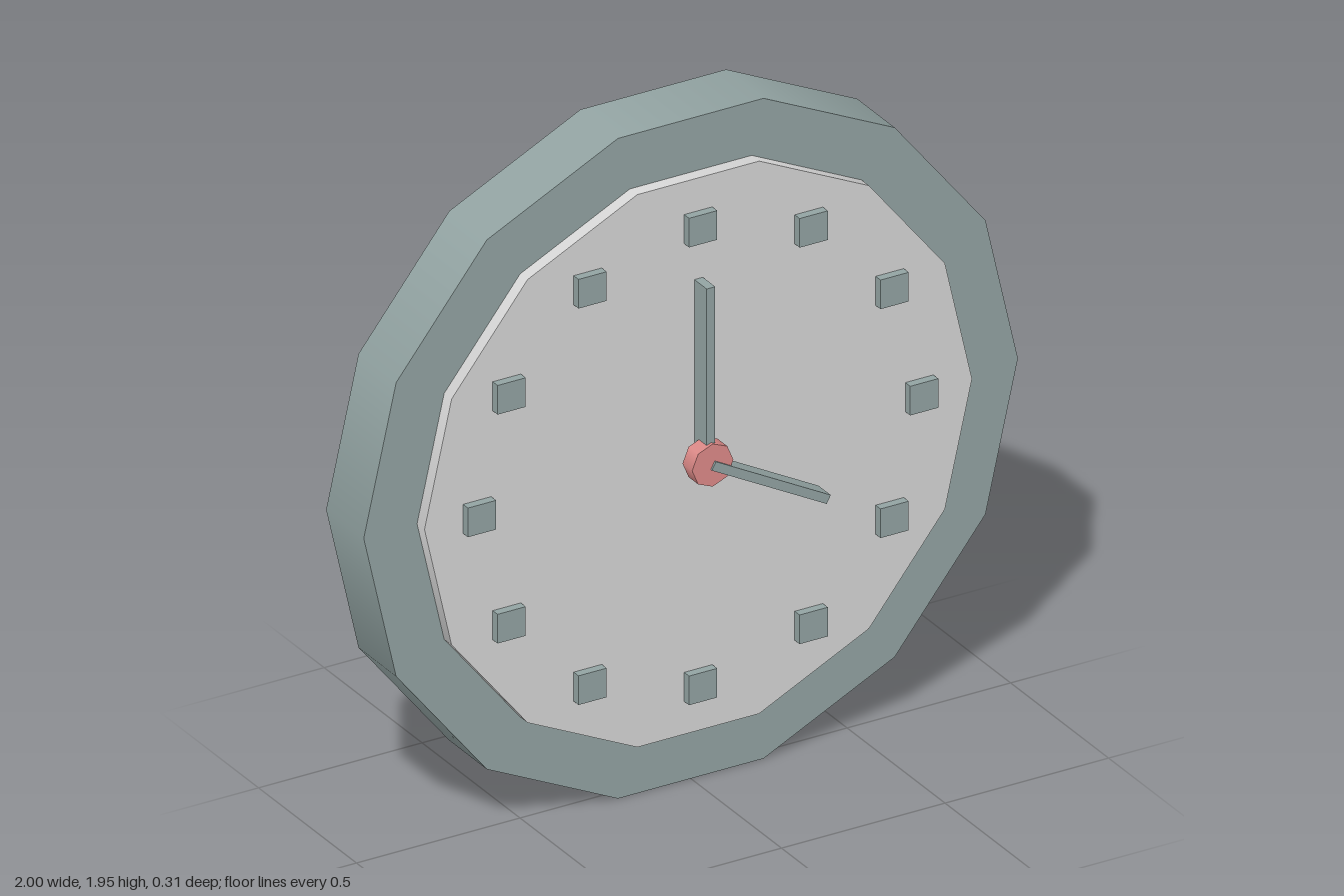
import * as THREE from 'three';

const CENTRE_Y = 0.975;

function material(name, color) {
  const m = new THREE.MeshStandardMaterial({ color });
  m.name = name;
  return m;
}

export function createModel() {
  const slate = material('slate grey', 0x92a3a2);
  const pale = material('pale grey', 0xd6d6d6);
  const red = material('soft red', 0xdd8a88);

  const clock = new THREE.Group();
  clock.name = 'wallClock';

  const add = (name, geometry, mat) => {
    const mesh = new THREE.Mesh(geometry, mat);
    mesh.name = name;
    mesh.position.y = CENTRE_Y;
    clock.add(mesh);
    return mesh;
  };

  // Disc facing +z, with corners on the x axis
  const disc = (name, radius, sides, back, front, mat) => {
    const g = new THREE.CylinderGeometry(radius, radius, front - back, sides, 1, false, Math.PI / 2);
    g.rotateX(Math.PI / 2).translate(0, 0, (front + back) / 2);
    return add(name, g, mat);
  };

  // Hand that starts at the centre and points along the given angle
  const hand = (name, length, angle, back, front) => {
    const g = new THREE.BoxGeometry(length, 0.026, front - back);
    g.translate(length / 2, 0, (front + back) / 2);
    add(name, g, slate).rotation.z = angle;
  };

  // Case and dial
  disc('frame', 1, 14, -0.155, 0.037, slate);
  disc('dial', 0.837, 14, 0.037, 0.075, pale);

  // Twelve upright square hour markers
  const markerGeometry = new THREE.BoxGeometry(0.086, 0.086, 0.03);
  for (let i = 0; i < 12; i++) {
    const a = (i * Math.PI) / 6;
    const marker = add('hourMarker', markerGeometry, slate);
    marker.position.set(0.676 * Math.cos(a), CENTRE_Y + 0.676 * Math.sin(a), 0.085);
  }

  // Hands and centre hub
  hand('minuteHand', 0.52, Math.PI / 2, 0.077, 0.14);
  hand('hourHand', 0.4, -0.5, 0.092, 0.155);
  disc('hub', 0.063, 8, 0.1, 0.149, red);

  return clock;
}
